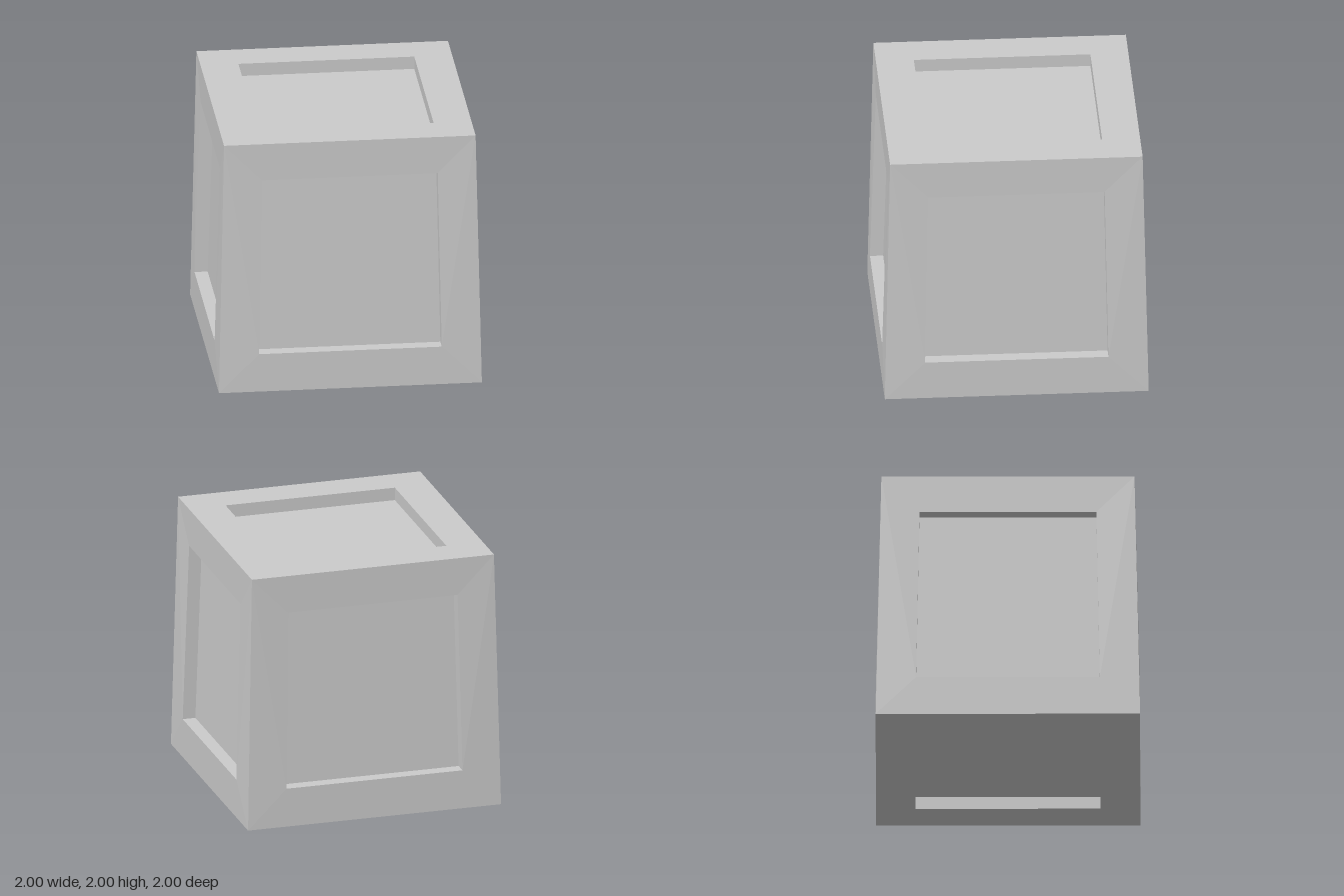
import * as THREE from 'three';

const H = 2, BASE = 1, TOP = 0.957, DEPTH = 0.1;
const material = new THREE.MeshStandardMaterial({ color: 0xcccccc, flatShading: true });

// Flat-shaded mesh from counter-clockwise quads
function quadMesh(name, quads) {
  const points = quads.flatMap(([a, b, c, d]) => [a, b, c, a, c, d]);
  const geometry = new THREE.BufferGeometry().setFromPoints(points);
  geometry.computeVertexNormals();
  const mesh = new THREE.Mesh(geometry, material);
  mesh.name = name;
  return mesh;
}

// One crate face: border, recess walls and sunken panel.
// Corners run bottom left, bottom right, top right, top left as seen from outside.
function crateFace(name, outer, inner, inward) {
  const floor = inner.map(p => p.clone().addScaledVector(inward, DEPTH));
  const border = [], walls = [];
  for (let i = 0; i < 4; i++) {
    const j = (i + 1) % 4;
    border.push(i === 1
      ? [outer[j], inner[j], inner[i], outer[i]]
      : [outer[i], outer[j], inner[j], inner[i]]);
    walls.push([inner[i], inner[j], floor[j], floor[i]]);
  }
  const face = new THREE.Group();
  face.name = name;
  face.add(quadMesh('border', border), quadMesh('recessWalls', walls), quadMesh('panel', [floor]));
  return face;
}

const v = (x, y, z) => new THREE.Vector3(x, y, z);

// Trapezoid standing on the front side, with its half width and depth per end
const upright = (y0, w0, z0, y1, w1, z1) =>
  [v(-w0, y0, z0), v(w0, y0, z0), v(w1, y1, z1), v(-w1, y1, z1)];

// Horizontal square; dir = 1 faces up, -1 faces down
const level = (w, y, dir) =>
  [v(-w, y, w * dir), v(w, y, w * dir), v(w, y, -w * dir), v(-w, y, -w * dir)];

export function createModel() {
  const crate = new THREE.Group();
  crate.name = 'crate';

  // Four tapering sides
  ['frontSide', 'leftSide', 'backSide', 'rightSide'].forEach((name, i) => {
    const side = crateFace(name,
      upright(0, BASE, BASE, H, TOP, TOP),
      upright(0.305, 0.695, BASE, 1.705, 0.669, TOP),
      v(0, 0, -1));
    side.rotation.y = i * Math.PI / 2;
    crate.add(side);
  });

  // Lid and underside
  crate.add(crateFace('lid', level(TOP, H, 1), level(0.669, H, 1), v(0, -1, 0)));
  crate.add(crateFace('underside', level(BASE, 0, -1), level(0.7, 0, -1), v(0, 1, 0)));
  return crate;
}
